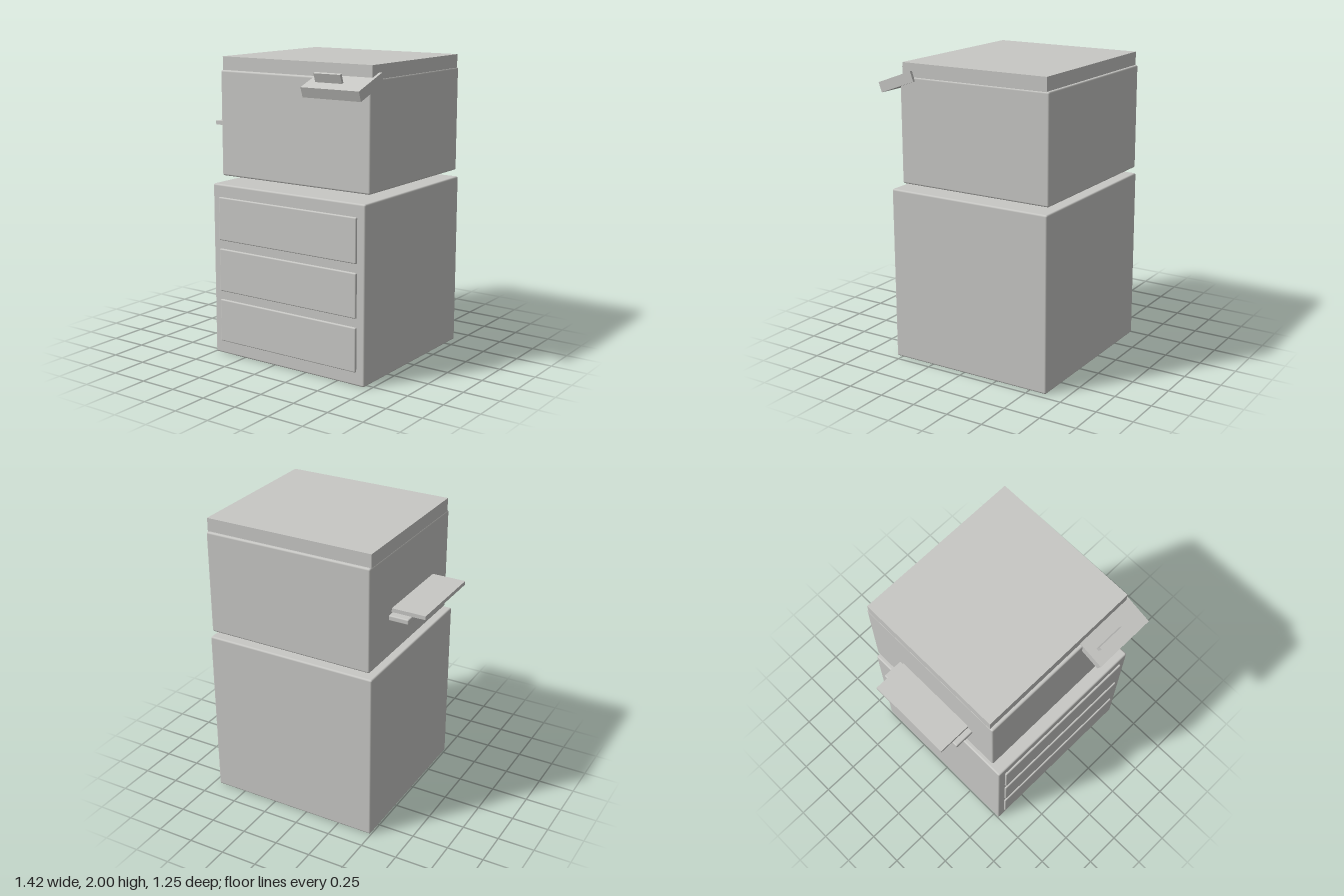
import * as THREE from 'three';
import { RoundedBoxGeometry } from 'three/addons/geometries/RoundedBoxGeometry.js';

export function createModel() {
  const group = new THREE.Group();
  group.name = 'officeCopier';
  const grey = new THREE.MeshStandardMaterial({ color: 0xc8c8c5 });
  grey.name = 'warm grey plastic';

  // Box given by its min/max extents; radius 0 keeps sharp edges
  function box(name, [x0, x1], [y0, y1], [z0, z1], radius = 0, parent = group) {
    const size = [x1 - x0, y1 - y0, z1 - z0];
    const geometry = radius
      ? new RoundedBoxGeometry(...size, 2, radius)
      : new THREE.BoxGeometry(...size);
    const mesh = new THREE.Mesh(geometry, grey);
    mesh.name = name;
    mesh.position.set((x0 + x1) / 2, (y0 + y1) / 2, (z0 + z1) / 2);
    parent.add(mesh);
    return mesh;
  }

  // Main bodies, with an open gap between cabinet and scanner unit
  box('cabinet', [-0.495, 0.708], [0, 1.168], [-0.622, 0.543], 0.012);
  box('upperBody', [-0.478, 0.69], [1.212, 1.912], [-0.622, 0.467], 0.012);
  box('lid', [-0.477, 0.688], [1.91, 2], [-0.604, 0.444]);

  // Paper drawers, stacked on the cabinet front
  for (let i = 0; i < 3; i++) {
    const y = 0.09 + i * 0.3505;
    box(`drawer${i + 1}`, [-0.44, 0.65], [y, y + 0.292], [0.515, 0.557], 0.008);
  }

  // Side trays
  box('outputTray', [-0.71, -0.45], [1.511, 1.537], [-0.335, 0.25]);
  box('trayHolder', [-0.613, -0.45], [1.466, 1.503], [-0.372, 0.286], 0.008);

  // Tilted control panel with an upright screen plate
  const panel = new THREE.Group();
  panel.name = 'controlPanel';
  panel.position.set(0.4955, 1.873, 0.486);
  panel.rotation.x = THREE.MathUtils.degToRad(20);
  group.add(panel);
  box('panelBody', [-0.2125, 0.2125], [-0.034, 0.034], [-0.1335, 0.1335], 0, panel);
  box('screen', [-0.156, 0.04], [0.02, 0.093], [0.034, 0.052], 0, panel);

  return group;
}
